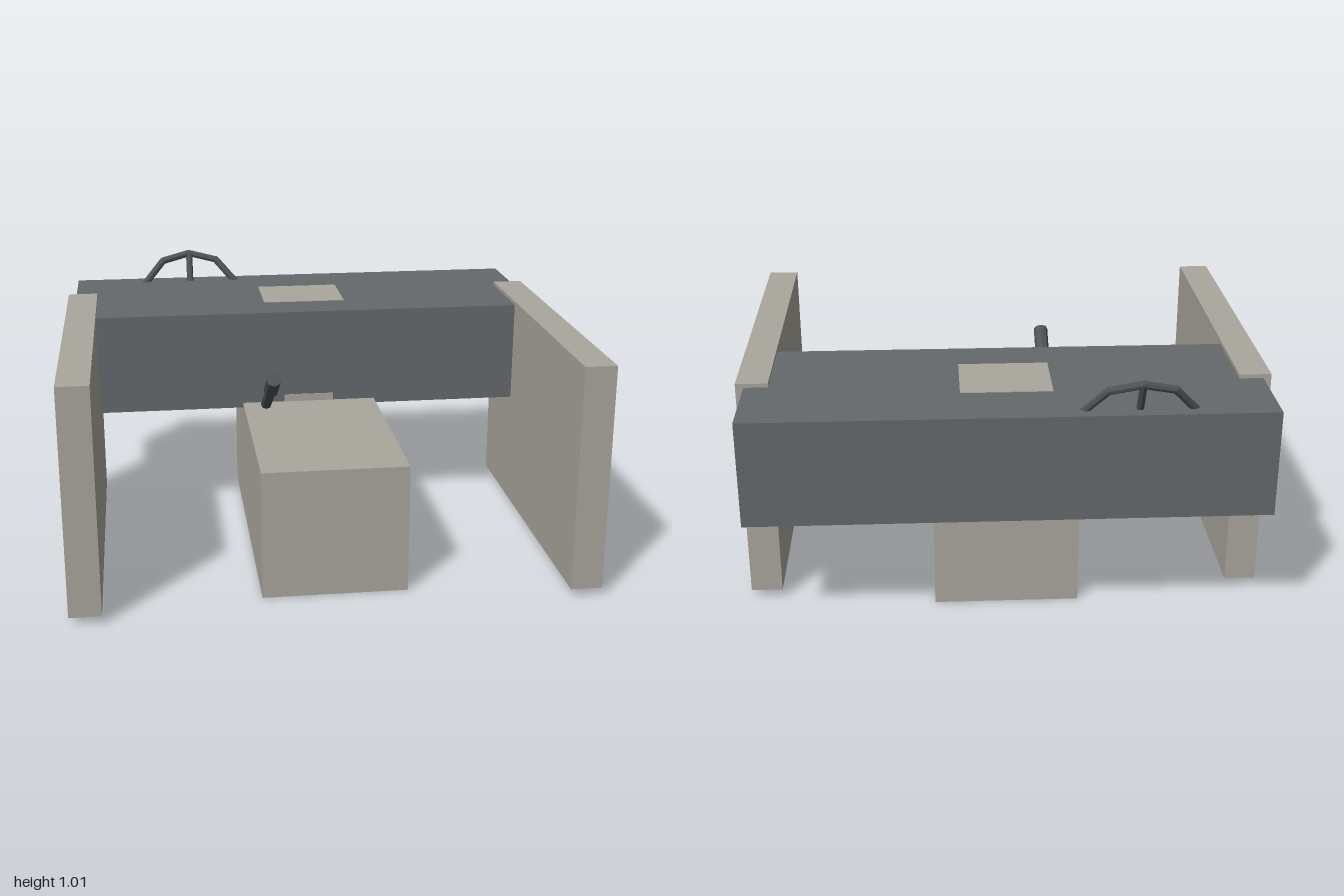
import * as THREE from 'three';

export function createModel() {
  const root = new THREE.Group();
  const make = (name, color) => {
    const m = new THREE.MeshStandardMaterial({ color });
    m.name = name;
    m.flatShading = true;
    return m;
  };
  const stone = make('warm grey', 0xa9a69d);
  const slate = make('slate grey', 0x64696c);
  const metal = make('dark metal', 0x4d5357);

  const add = (name, geometry, material) => {
    const mesh = new THREE.Mesh(geometry, material);
    mesh.name = name;
    root.add(mesh);
    return mesh;
  };
  // Box given by its lower and upper limits on each axis
  const box = (name, [x0, x1], [y0, y1], [z0, z1], material) => {
    const mesh = add(name, new THREE.BoxGeometry(x1 - x0, y1 - y0, z1 - z0), material);
    mesh.position.set((x0 + x1) / 2, (y0 + y1) / 2, (z0 + z1) / 2);
    return mesh;
  };
  // Straight rod between two points
  const rod = (name, a, b, radius, sides, material) => {
    const from = new THREE.Vector3(...a), to = new THREE.Vector3(...b);
    const dir = to.clone().sub(from);
    const mesh = add(name, new THREE.CylinderGeometry(radius, radius, dir.length(), sides), material);
    mesh.position.copy(from).add(to).multiplyScalar(0.5);
    mesh.quaternion.setFromUnitVectors(new THREE.Vector3(0, 1, 0), dir.normalize());
    return mesh;
  };

  // Main console and the low bench under it
  box('console', [-0.96, 0.96], [0.48, 0.885], [-0.81, -0.13], slate);
  box('bench', [-0.278, 0.275], [0, 0.5], [-0.565, 0.69], stone);

  // Inlays set into the console top and front
  box('topInlay', [-0.17, 0.17], [0.88, 0.887], [-0.58, -0.3], stone);
  box('frontInlay', [-0.105, 0.1], [0.5, 0.53], [-0.135, -0.127], stone);

  // Side panels with a raised rectangle on the outside
  for (const [side, s] of [['left', 1], ['right', -1]]) {
    const span = (a, b) => (s > 0 ? [a, b] : [-b, -a]);
    box(side + 'Panel', span(0.87, 0.99), [0.03, 0.9], [-0.49, 0.825], stone);
    box(side + 'PanelPlate', span(0.99, 1.0), [0.2, 0.72], [0.215, 0.45], stone);
  }

  // Tray under the console with a small grip
  box('tray', [0.265, 0.81], [0.438, 0.482], [-0.62, -0.37], stone);
  box('trayGrip', [0.61, 0.745], [0.422, 0.44], [-0.53, -0.5], stone);

  // Arched handle on the console top, made of straight sections
  const arch = [
    [-0.665, 0.875, -0.745], [-0.58, 0.97, -0.787], [-0.462, 0.998, -0.805],
    [-0.344, 0.97, -0.787], [-0.259, 0.875, -0.745],
  ];
  for (let i = 0; i < arch.length - 1; i++) rod('archSection', arch[i], arch[i + 1], 0.015, 8, metal);
  for (let i = 1; i < arch.length - 1; i++) {
    add('archJoint', new THREE.SphereGeometry(0.015, 8, 6), metal).position.set(...arch[i]);
  }
  rod('archStrut', [-0.462, 0.875, -0.745], arch[2], 0.014, 8, metal);

  // Tilted lever with a thick grip
  rod('leverShaft', [-0.2, 0.56, 0.073], [-0.2, 0.69, 0.295], 0.022, 8, metal);
  rod('leverGrip', [-0.2, 0.685, 0.287], [-0.2, 0.765, 0.403], 0.029, 8, metal);

  return root;
}
